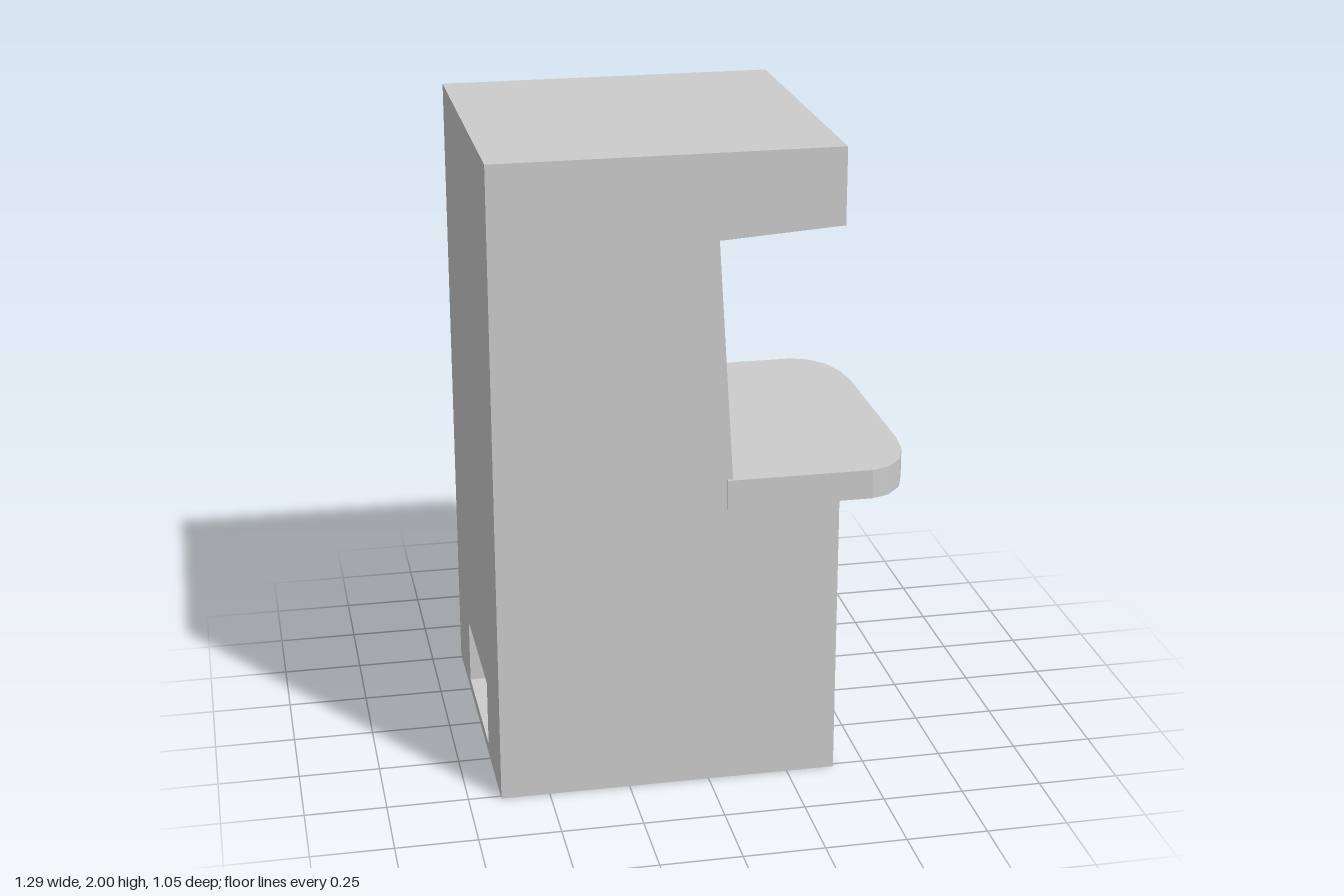
import * as THREE from 'three';

const material = new THREE.MeshStandardMaterial({ color: 0xcccccc, flatShading: true });

const toShape = (points) => new THREE.Shape(points.map(([x, y]) => new THREE.Vector2(x, y)));
const extrude = (shape, depth) => new THREE.ExtrudeGeometry(shape, { depth, bevelEnabled: false });

export function createModel() {
  const group = new THREE.Group();
  const add = (name, geometry) => {
    const mesh = new THREE.Mesh(geometry, material);
    mesh.name = name;
    group.add(mesh);
  };

  const back = -0.65, front = 0.4, outer = 0.515, inner = 0.395;
  const ventDepth = 0.08;

  // Side panels: full-height silhouette with the display opening cut in
  const side = toShape([
    [back, 0], [front, 0], [front, 0.95], [0.072, 0.95], [0.07, 1],
    [0.025, 1.74], [front, 1.765], [front, 2], [back, 2],
  ]);
  add('leftSidePanel', extrude(side, outer - inner).translate(0, 0, inner));
  add('rightSidePanel', extrude(side, outer - inner).translate(0, 0, -outer));

  // Core between the sides: plinth, recessed door, leaning screen and canopy
  const core = toShape([
    [back + ventDepth, 0], [front, 0], [front, 0.026], [0.36, 0.026], [0.36, 0.95],
    [0.065, 0.95], [0.065, 1.003], [-0.153, 1.803], [front, 1.803], [front, 2],
    [back + ventDepth, 2],
  ]);
  add('core', extrude(core, 2 * inner).translate(0, 0, -inner));

  // Narrow stile beside the recessed door
  add('doorStile', new THREE.BoxGeometry(0.04, 0.91, 0.04).translate(0.38, 0.48, -0.375));

  // Back panel with a rectangular vent opening
  const backPanel = toShape([[-inner, 0], [inner, 0], [inner, 2], [-inner, 2]]);
  backPanel.holes.push(toShape([[-0.217, 0.036], [-0.217, 0.248], [0.247, 0.248], [0.247, 0.036]]));
  add('backPanel', extrude(backPanel, ventDepth).rotateY(Math.PI / 2).translate(back, 0, 0));

  // Control shelf with faceted, rounded front corners
  const corner = [[0.053, 0.525], [0.5, 0.525], [0.555, 0.505], [0.605, 0.45], [0.635, 0.365], [0.645, 0.27]];
  const mirrored = corner.map(([x, z]) => [x, -z]);
  const shelf = toShape([...mirrored, ...corner.reverse()]);
  add('controlShelf', extrude(shelf, 0.092).rotateX(-Math.PI / 2).translate(0, 0.906, 0));

  return group;
}
